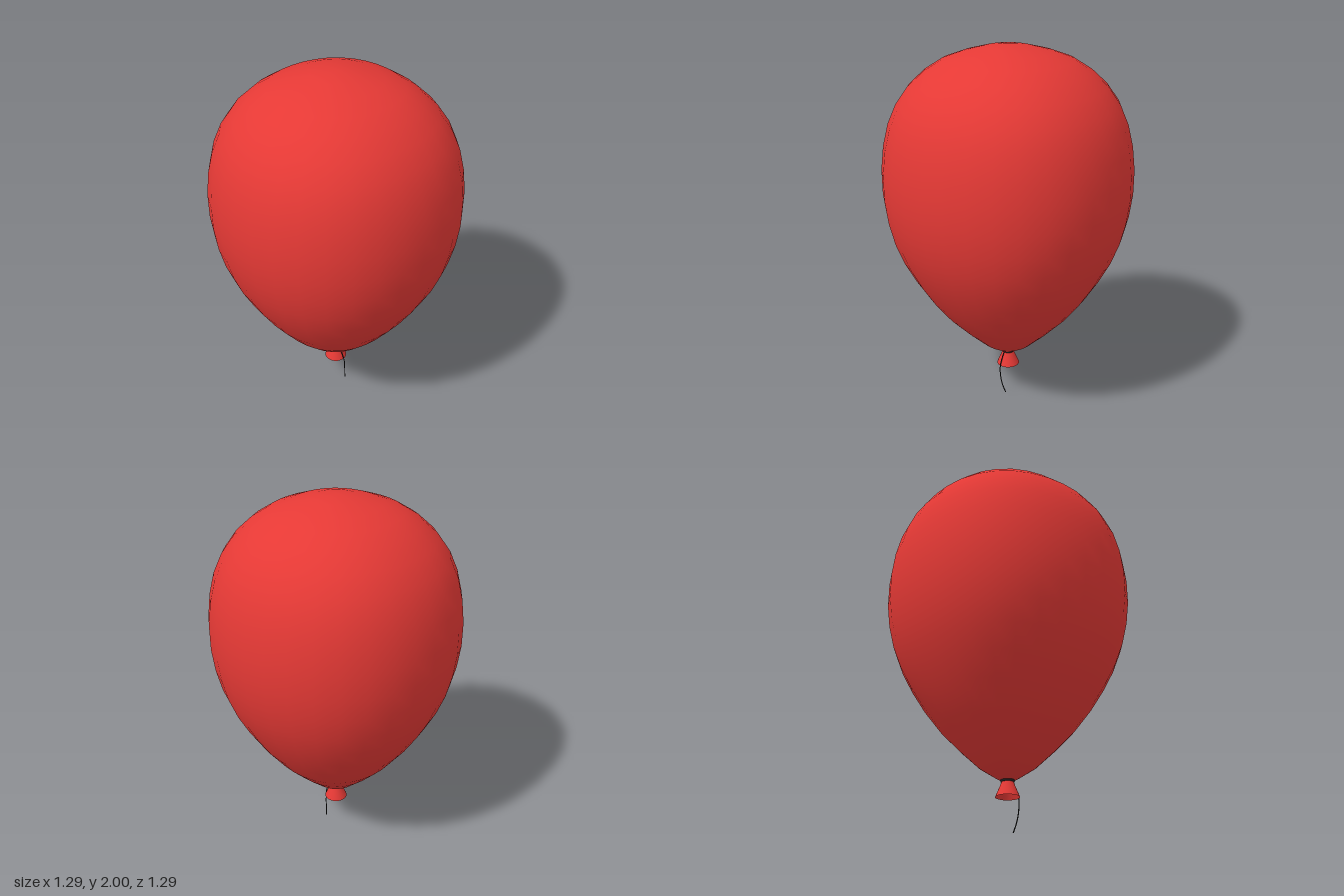
import * as THREE from 'three';
import { mergeVertices } from 'three/addons/utils/BufferGeometryUtils.js';

const v2 = (pairs) => pairs.map(([r, y]) => new THREE.Vector2(r, y));

// Lathed teardrop whose cross-section swells slightly on the diagonals
function balloonGeometry() {
  const profile = v2([
    [0, 0.245], [0.028, 0.25], [0.065, 0.272], [0.145, 0.325], [0.25, 0.425], [0.34, 0.52],
    [0.43, 0.64], [0.5, 0.754], [0.557, 0.865], [0.6, 0.98], [0.628, 1.1], [0.643, 1.225],
    [0.643, 1.357], [0.628, 1.485], [0.6, 1.6], [0.557, 1.7], [0.495, 1.79], [0.415, 1.865],
    [0.33, 1.92], [0.23, 1.957], [0.12, 1.985], [0, 2],
  ]);
  let geo = new THREE.LatheGeometry(profile, 32);
  const pos = geo.attributes.position;
  for (let i = 0; i < pos.count; i++) {
    const x = pos.getX(i), z = pos.getZ(i);
    const swell = 1 + 0.0155 * (1 - Math.cos(4 * Math.atan2(z, x)));
    pos.setX(i, x * swell);
    pos.setZ(i, z * swell);
  }
  // Weld the seam so the shading stays smooth
  geo.deleteAttribute('uv');
  geo.deleteAttribute('normal');
  geo = mergeVertices(geo, 1e-5);
  geo.computeVertexNormals();
  return geo;
}

export function createModel() {
  const group = new THREE.Group();
  const red = new THREE.MeshStandardMaterial({ color: 0xe53935 });
  const redThin = new THREE.MeshStandardMaterial({ color: 0xe53935, side: THREE.DoubleSide });
  const dark = new THREE.MeshStandardMaterial({ color: 0x222222 });

  const add = (name, geo, mat) => {
    const mesh = new THREE.Mesh(geo, mat);
    mesh.name = name;
    group.add(mesh);
    return mesh;
  };

  add('balloonBody', balloonGeometry(), red);

  // Flared open mouth below the knot
  const mouth = v2([[0.063, 0.168], [0.054, 0.19], [0.04, 0.222], [0.029, 0.252]]);
  add('mouth', new THREE.LatheGeometry(mouth, 24), redThin);

  // String wound round the neck
  const tie = add('neckTie', new THREE.TorusGeometry(0.029, 0.009, 8, 24), dark);
  tie.rotation.x = Math.PI / 2;
  tie.position.y = 0.253;

  // Loose end hanging in front of the mouth
  const path = new THREE.CatmullRomCurve3([
    [0, 0.252, 0.034], [0, 0.215, 0.055], [0.002, 0.165, 0.074],
    [0.007, 0.1, 0.074], [0.014, 0.05, 0.067], [0.026, 0.001, 0.055],
  ].map((p) => new THREE.Vector3(...p)));
  add('string', new THREE.TubeGeometry(path, 24, 0.003, 6), dark);

  return group;
}
